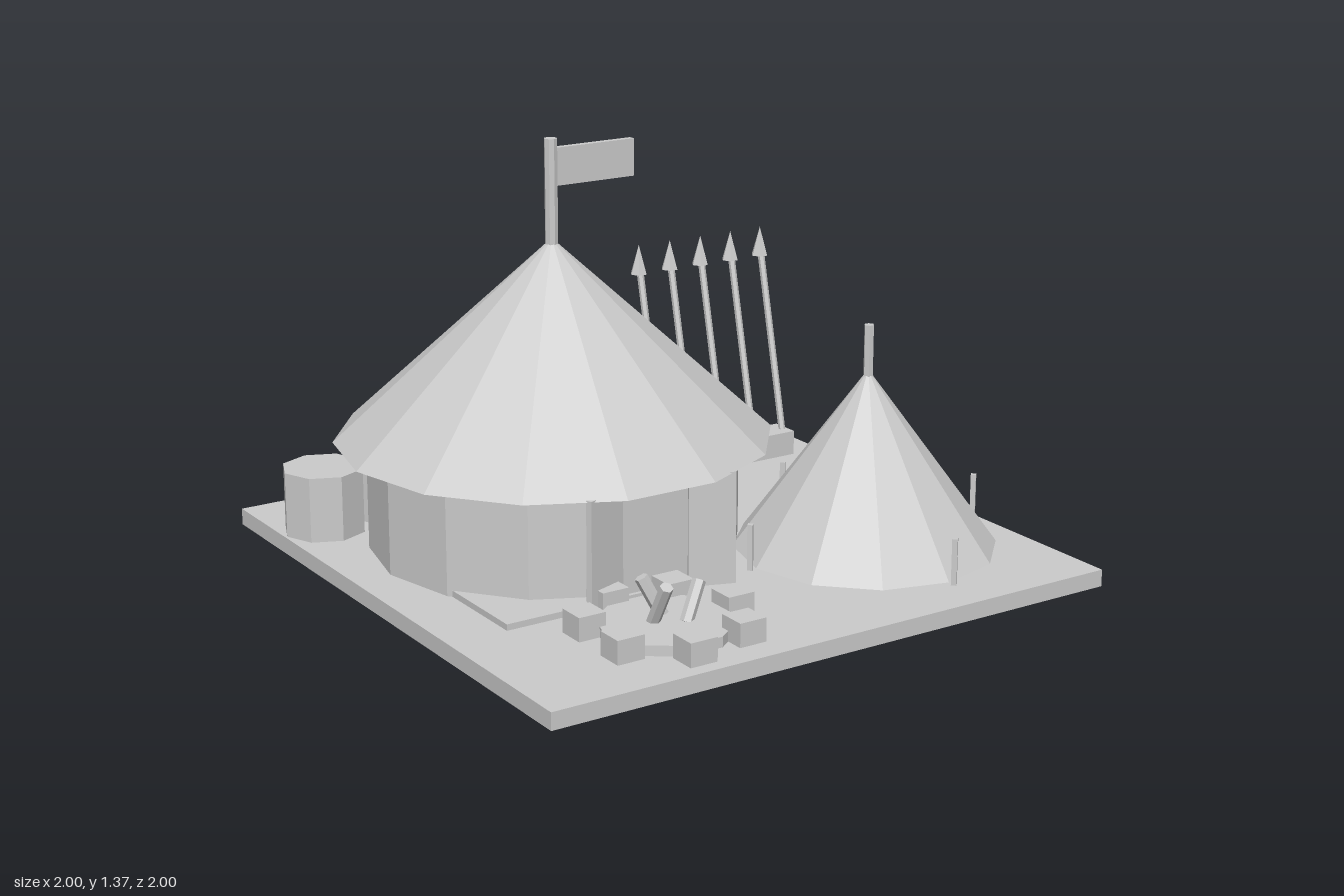
import * as THREE from 'three';

const material = new THREE.MeshStandardMaterial({ color: 0xcccccc, flatShading: true });
const GROUND = 0.055;

export function createModel() {
  const model = new THREE.Group();

  const add = (name, geometry, x, y, z, parent = model) => {
    const mesh = new THREE.Mesh(geometry, material);
    mesh.name = name;
    mesh.position.set(x, y, z);
    parent.add(mesh);
    return mesh;
  };
  // box given by its minimum and maximum corners
  const box = (name, [x0, y0, z0], [x1, y1, z1], parent) =>
    add(name, new THREE.BoxGeometry(x1 - x0, y1 - y0, z1 - z0),
      (x0 + x1) / 2, (y0 + y1) / 2, (z0 + z1) / 2, parent);
  // upright prism or cone with a corner on the +x axis
  const column = (name, x, z, y0, y1, rBottom, rTop, sides, parent) =>
    add(name, new THREE.CylinderGeometry(rTop, rBottom, y1 - y0, sides, 1, false, Math.PI / 2),
      x, (y0 + y1) / 2, z, parent);
  // straight rod between two points
  const rod = (name, a, b, radius, sides, parent) => {
    const from = new THREE.Vector3(...a), to = new THREE.Vector3(...b);
    const dir = to.clone().sub(from);
    const mid = from.clone().add(to).multiplyScalar(0.5);
    const mesh = add(name, new THREE.CylinderGeometry(radius, radius, dir.length(), sides),
      mid.x, mid.y, mid.z, parent);
    mesh.quaternion.setFromUnitVectors(new THREE.Vector3(0, 1, 0), dir.normalize());
  };
  const group = (name) => {
    const g = new THREE.Group();
    g.name = name;
    model.add(g);
    return g;
  };

  box('ground', [-1, 0, -1], [1, GROUND, 1]);

  // Large round tent with flag
  const tent = group('largeTent');
  const tx = -0.28, tz = -0.175;
  column('wall', tx, tz, GROUND, 0.42, 0.595, 0.595, 14, tent);
  column('roof', tx, tz, 0.41, 1.05, 0.7, 0, 14, tent);
  column('flagPole', tx, tz, 1.0, 1.365, 0.021, 0.021, 8, tent);
  box('flag', [tx + 0.015, 1.215, tz - 0.011], [0.018, 1.335, tz + 0.011], tent);

  // Doorway with two flaps swung outward
  box('door', [-0.4, GROUND, 0.38], [-0.16, 0.395, 0.412], tent);
  for (const side of [-1, 1]) {
    const flap = add('doorFlap', new THREE.BoxGeometry(0.15, 0.36, 0.02),
      tx + side * 0.192, 0.235, 0.435, tent);
    flap.rotation.y = -side * 0.34;
  }
  box('groundMat', [-0.805, GROUND, 0], [-0.25, 0.075, 0.425], tent);

  // Small conical tent with pegs
  const small = group('smallTent');
  const sx = 0.53, sz = 0.4;
  column('canvas', sx, sz, GROUND, 0.635, 0.425, 0, 12, small);
  column('pole', sx, sz, 0.57, 0.78, 0.016, 0.016, 6, small);
  for (const [dx, dz] of [[1, 0], [-1, 0], [0, 1], [0, -1]])
    column('peg', sx + dx * 0.448, sz + dz * 0.448, GROUND, 0.205, 0.012, 0.012, 4, small);

  // Spear rack
  const rack = group('spearRack');
  box('rackBase', [0.295, GROUND, -0.577], [0.887, 0.14, -0.472], rack);
  for (let i = 0; i < 5; i++) {
    const x = 0.36 + i * 0.127;
    rod('spearShaft', [x, 0.1, -0.51], [x, 0.76, -0.66], 0.012, 6, rack);
    column('spearHead', x, -0.667, 0.745, 0.847, 0.03, 0, 6, rack);
  }

  // Barrels behind the large tent
  for (const [x, z] of [[-0.857, -0.667], [-0.6, -0.707]])
    column('barrel', x, z, GROUND, 0.27, 0.135, 0.135, 8);

  // Campfire with a ring of stones and leaning logs
  const fire = group('campfire');
  const fx = -0.414, fz = 0.675;
  column('ashBed', fx, fz, GROUND, 0.088, 0.21, 0.21, 10, fire);
  for (let i = 0; i < 7; i++) {
    const a = (i / 7) * Math.PI * 2;
    add('stone', new THREE.BoxGeometry(0.092, 0.075, 0.092),
      fx + 0.239 * Math.cos(a), GROUND + 0.0375, fz + 0.239 * Math.sin(a), fire);
  }
  rod('log', [-0.45, 0.08, 0.66], [-0.45, 0.215, 0.735], 0.021, 6, fire);
  rod('log', [-0.365, 0.08, 0.71], [-0.3, 0.19, 0.68], 0.021, 6, fire);
  rod('log', [-0.39, 0.08, 0.62], [-0.445, 0.2, 0.59], 0.021, 6, fire);

  return model;
}
